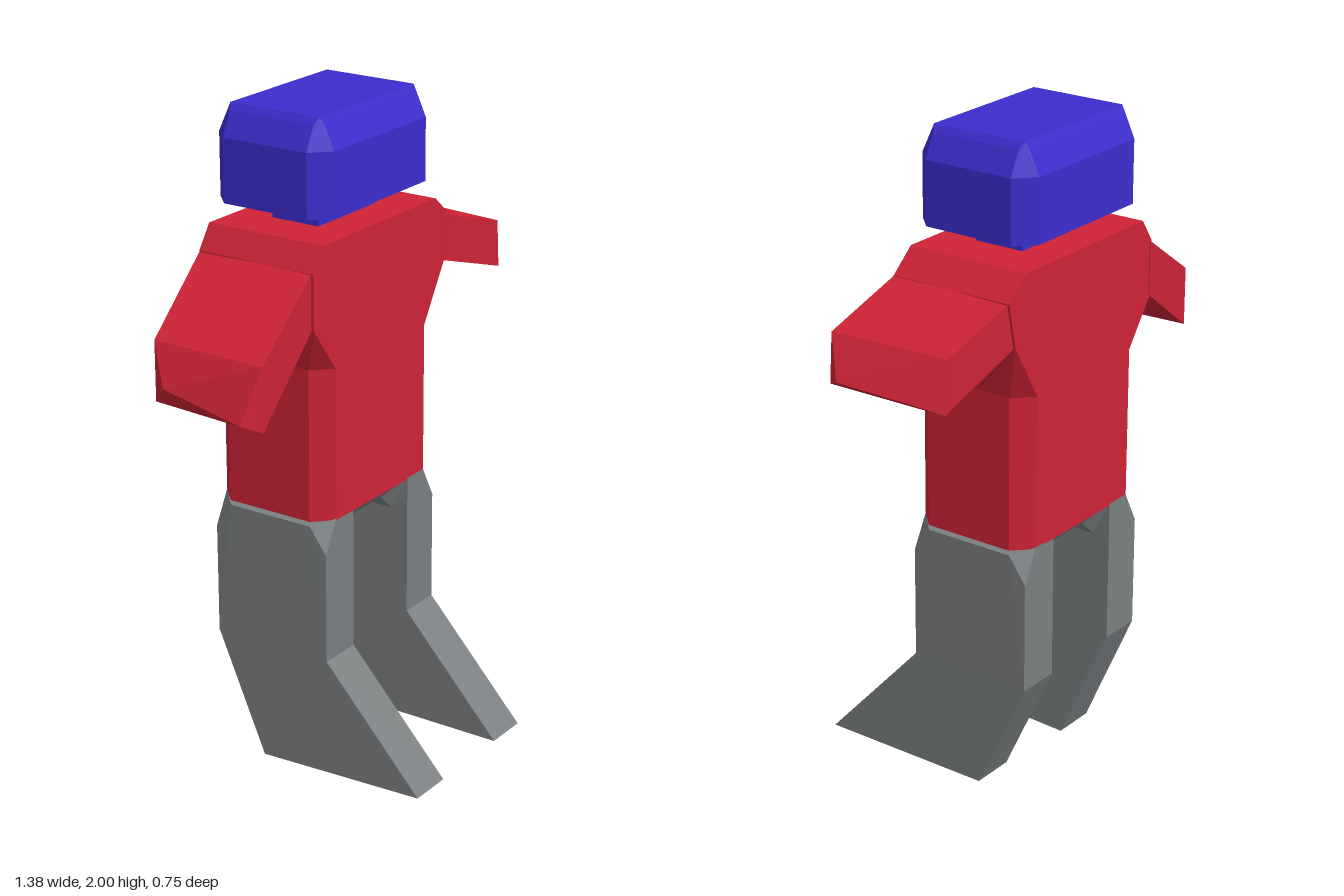
import * as THREE from 'three';
import { ConvexGeometry } from 'three/addons/geometries/ConvexGeometry.js';

const HW = 0.282, HD = 0.198, CUT = 0.055; // half width, half depth, corner cut

// Rectangle with cut corners at height y, shrunk by an inset
function octagon(y, inset = 0) {
  const pts = [];
  const w = HW - inset, d = HD - inset;
  const c = Math.max(CUT - inset, 0.01);
  for (const sx of [-1, 1]) for (const sz of [-1, 1]) {
    pts.push([sx * w, y, sz * (d - c)], [sx * (w - c), y, sz * d]);
  }
  return pts;
}

// Rectangle at height y
function rect(y, x0, x1, z0, z1) {
  return [[x0, y, z0], [x1, y, z0], [x1, y, z1], [x0, y, z1]];
}

function solid(name, material, points, parent) {
  const geometry = new ConvexGeometry(points.map((p) => new THREE.Vector3(...p)));
  const mesh = new THREE.Mesh(geometry, material);
  mesh.name = name;
  parent.add(mesh);
  return mesh;
}

export function createModel() {
  const material = (name, color) => {
    const m = new THREE.MeshStandardMaterial({ color, flatShading: true });
    m.name = name;
    return m;
  };
  const red = material('shirt red', 0xce2336);
  const blue = material('head blue', 0x3c2dce);
  const grey = material('trouser grey', 0x7b7f81);

  const model = new THREE.Group();
  model.name = 'figure';

  // Body is turned slightly about the vertical
  const body = new THREE.Group();
  body.name = 'body';
  body.position.set(-0.022, 0, -0.155);
  body.rotation.y = 0.04;
  model.add(body);

  // Head and neck
  solid('head', blue, [
    ...octagon(1.72), ...octagon(1.91), ...octagon(1.98, 0.034),
    ...rect(2.0, -0.232, 0.232, -0.152, 0.152),
  ], body);
  solid('neck', blue, [
    ...rect(1.64, -0.14, 0.14, -0.08, 0.08),
    ...rect(1.73, -0.14, 0.14, -0.08, 0.08),
  ], body);

  // Torso: straight waist, then a chest that flares to the shoulders
  solid('waist', red, [...octagon(0.815), ...octagon(1.28)], body);
  const chest = [...octagon(1.28), ...rect(1.655, -HW, HW, -HD, HD)];
  for (const z of [-HD, HD]) {
    chest.push([-0.33, 1.42, z], [-0.33, 1.585, z], [0.332, 1.455, z], [0.36, 1.588, z]);
  }
  solid('chest', red, chest, body);

  // Arms: broad slabs ending in a narrowed ridge
  solid('leftArm', red, [
    [0.31, 1.455, -0.366], [0.31, 1.455, 0.031], [0.338, 1.588, -0.367], [0.338, 1.588, 0.03],
    [0.60, 1.515, -0.378], [0.612, 1.503, 0.02],
    [0.612, 1.36, -0.378], [0.622, 1.355, 0.02],
    [0.683, 1.40, -0.31], [0.69, 1.40, -0.065],
  ], model);
  solid('rightArm', red, [
    [-0.35, 1.42, -0.343], [-0.35, 1.42, 0.052], [-0.35, 1.585, -0.343], [-0.35, 1.585, 0.052],
    [-0.637, 1.41, -0.272], [-0.63, 1.41, 0.105],
    [-0.64, 1.23, -0.27], [-0.63, 1.22, 0.105],
    [-0.695, 1.30, -0.195], [-0.69, 1.25, 0.07],
  ], model);

  // Legs: upright thighs, shins slanting forward
  const inner = 0.142;
  for (const side of [-1, 1]) {
    const leg = new THREE.Group();
    leg.name = side > 0 ? 'leftLeg' : 'rightLeg';
    body.add(leg);
    const a = side * inner, b = side * 0.28;
    const c = side * (HW - CUT);
    solid('thigh', grey, [
      [a, 0.82, HD], [c, 0.82, HD], [side * HW, 0.80, HD - CUT],
      [a, 0.82, -HD], [c, 0.82, -HD], [side * HW, 0.80, CUT - HD],
      ...rect(0.72, a, b, -HD, HD), ...rect(0.38, a, b, -HD, HD),
    ], leg);
    const heel = side > 0 ? 0.025 : 0.003;
    solid('shin', grey, [
      ...rect(0.38, a, b, -HD, HD),
      [a, 0.028, 0.52], [b, 0.028, 0.52], [a, heel, -0.035], [b, heel, -0.035],
    ], leg);
  }

  // Crotch block with sloping sides
  solid('crotch', grey, [
    ...rect(0.82, -inner, inner, -HD, HD),
    ...rect(0.765, -0.08, 0.08, CUT - HD, HD - CUT),
  ], body);
  for (const side of [-1, 1]) {
    const gusset = [];
    for (const s of [-1, 1]) {
      gusset.push([side * inner, 0.71, s * (HD - CUT)], [side * 0.08, 0.765, s * (HD - CUT)],
        [side * inner, 0.815, s * (HD - 0.005)]);
    }
    solid('gusset', grey, gusset, body);
  }
  return model;
}
